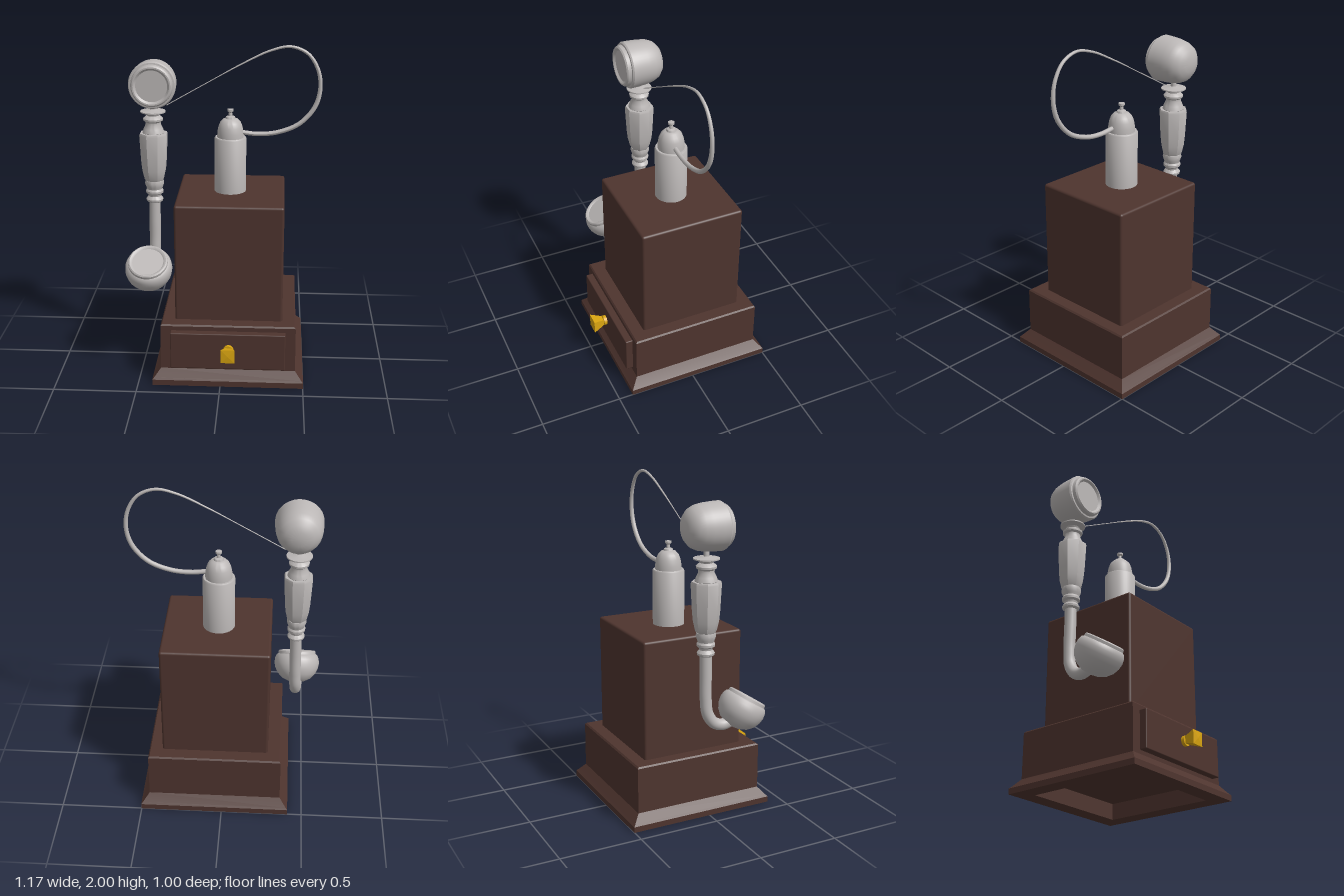
import * as THREE from 'three';
import { toCreasedNormals } from 'three/addons/utils/BufferGeometryUtils.js';
import { RoundedBoxGeometry } from 'three/addons/geometries/RoundedBoxGeometry.js';

export function createModel() {
  const wood = new THREE.MeshStandardMaterial({ color: 0x4e342e });
  wood.name = 'dark wood';
  const metal = new THREE.MeshStandardMaterial({ color: 0xbbb7b6 });
  metal.name = 'grey metal';
  const brass = new THREE.MeshStandardMaterial({ color: 0xdaa510 });
  brass.name = 'brass';

  const model = new THREE.Group();
  model.name = 'deskTelephone';

  function add(name, geometry, material, x = 0, y = 0, z = 0, rotX = 0) {
    const mesh = new THREE.Mesh(geometry, material);
    mesh.name = name;
    mesh.position.set(x, y, z);
    mesh.rotation.x = rotX;
    model.add(mesh);
    return mesh;
  }

  // Turned profile of [radius, height] pairs, listed from bottom to top
  function turned(profile, segments = 40, crease = 0.6, phase = 0) {
    const points = profile.map(([r, y]) => new THREE.Vector2(r, y));
    return toCreasedNormals(new THREE.LatheGeometry(points, segments, phase), crease);
  }

  // Square profile of [half width, height] pairs
  function square(profile) {
    return turned(profile.map(([h, y]) => [h * Math.SQRT2, y]), 4, 0.1, Math.PI / 4);
  }

  // --- Wooden case, hollowed underneath ---
  const cx = 0.045, cz = -0.045;
  add('plinth', square([
    [0, 0.1], [0.35, 0.1], [0.35, 0], [0.457, 0], [0.457, 0.035],
    [0.447, 0.045], [0.407, 0.092], [0.406, 0.372], [0.398, 0.381], [0, 0.381],
  ]), wood, cx, 0, cz);
  add('upperCase', new RoundedBoxGeometry(0.65, 0.74, 0.645, 3, 0.015), wood, cx, 0.735, cz);

  // --- Drawer and knob ---
  add('drawer', new RoundedBoxGeometry(0.69, 0.23, 0.06, 2, 0.006), wood, cx, 0.231, 0.375);
  add('knobCollar', new THREE.CylinderGeometry(0.031, 0.031, 0.02, 24), brass, 0.05, 0.247, 0.415, Math.PI / 2);
  add('knobStem', new THREE.CylinderGeometry(0.014, 0.014, 0.03, 16), brass, 0.05, 0.247, 0.425, Math.PI / 2);
  add('knob', square([[0, 0], [0.021, 0], [0.042, 0.07], [0, 0.074]]), brass, 0.05, 0.247, 0.427, Math.PI / 2);

  // --- Post on top of the case ---
  add('post', turned([
    [0, 1.09], [0.096, 1.09], [0.096, 1.435], [0.091, 1.443], [0.08, 1.443],
    [0.079, 1.47], [0.073, 1.505], [0.062, 1.533], [0.045, 1.551], [0.03, 1.556],
    [0.026, 1.567], [0.012, 1.572], [0.01, 1.592], [0.019, 1.6], [0.019, 1.612], [0, 1.617],
  ]), metal, 0.038, 0, -0.05);

  // --- Looping cord, thinning towards the handset ---
  const cordPath = new THREE.CatmullRomCurve3([
    [0.09, 1.475], [0.2, 1.463], [0.32, 1.475], [0.45, 1.53], [0.54, 1.635], [0.568, 1.75],
    [0.55, 1.86], [0.49, 1.95], [0.39, 1.99], [0.27, 1.965], [0.1, 1.883], [-0.12, 1.76], [-0.345, 1.632],
  ].map(([x, y]) => new THREE.Vector3(x, y, -0.045)));
  const steps = 120, sides = 12;
  const cord = new THREE.TubeGeometry(cordPath, steps, 0.014, sides);
  const p = cord.attributes.position, v = new THREE.Vector3();
  for (let i = 0; i < p.count; i++) {
    const t = Math.floor(i / (sides + 1)) / steps;
    const centre = cordPath.getPointAt(t);
    v.fromBufferAttribute(p, i).sub(centre);
    v.multiplyScalar(t < 0.3 ? 1 : 1 - 0.8 * Math.min(1, (t - 0.3) / 0.5)).add(centre);
    p.setXYZ(i, v.x, v.y, v.z);
  }
  cord.computeVertexNormals();
  add('cord', cord, metal);

  // --- Handset: receiver, handle, curved neck and mouthpiece ---
  const hx = -0.427, hz = -0.045;
  add('receiver', turned([
    [0, -0.183], [0.045, -0.179], [0.083, -0.166], [0.112, -0.14], [0.128, -0.105],
    [0.136, -0.06], [0.14, 0], [0.141, 0.04], [0.135, 0.049], [0.125, 0.051],
    [0.122, 0.072], [0.114, 0.08], [0.106, 0.08], [0.094, 0.068], [0, 0.068],
  ], 48), metal, -0.42, 1.77, 0, Math.PI / 2);

  add('handleTop', turned([
    [0.06, 1.455], [0.066, 1.465], [0.058, 1.49], [0.046, 1.515], [0.047, 1.53], [0.059, 1.54],
    [0.06, 1.552], [0.05, 1.562], [0.037, 1.57], [0.042, 1.58], [0.076, 1.59],
    [0.076, 1.597], [0.034, 1.603], [0.018, 1.608], [0.017, 1.66], [0, 1.66],
  ]), metal, hx, 0, hz);
  add('facetedGrip', turned([
    [0, 1.155], [0.05, 1.155], [0.062, 1.175], [0.075, 1.23], [0.081, 1.29], [0.089, 1.45],
    [0.084, 1.463], [0, 1.463],
  ], 8, 0.4, Math.PI / 8), metal, hx, 0, hz);
  add('handleRings', turned([
    [0, 1.025], [0.04, 1.025], [0.05, 1.033], [0.052, 1.045], [0.045, 1.055], [0.038, 1.063],
    [0.041, 1.075], [0.053, 1.085], [0.054, 1.098], [0.047, 1.11], [0.052, 1.125],
    [0.059, 1.145], [0.055, 1.165], [0, 1.17],
  ]), metal, hx, 0, hz);

  const neckPath = new THREE.CatmullRomCurve3([
    [-0.427, 1.04, -0.045], [-0.429, 0.9, -0.045], [-0.431, 0.76, -0.045], [-0.434, 0.67, -0.034],
    [-0.438, 0.61, 0.005], [-0.442, 0.59, 0.06], [-0.446, 0.61, 0.13],
  ].map((a) => new THREE.Vector3(...a)));
  add('neck', new THREE.TubeGeometry(neckPath, 50, 0.035, 24), metal);

  add('mouthpiece', turned([
    [0, -0.2], [0.05, -0.193], [0.09, -0.174], [0.12, -0.143], [0.137, -0.108], [0.143, -0.075],
    [0.14, -0.045], [0.13, -0.023], [0.12, -0.016], [0.118, 0], [0.11, 0.006], [0.104, 0.005],
    [0.094, -0.004], [0, -0.004],
  ], 48), metal, -0.445, 0.735, 0.23, 0.57);

  return model;
}
